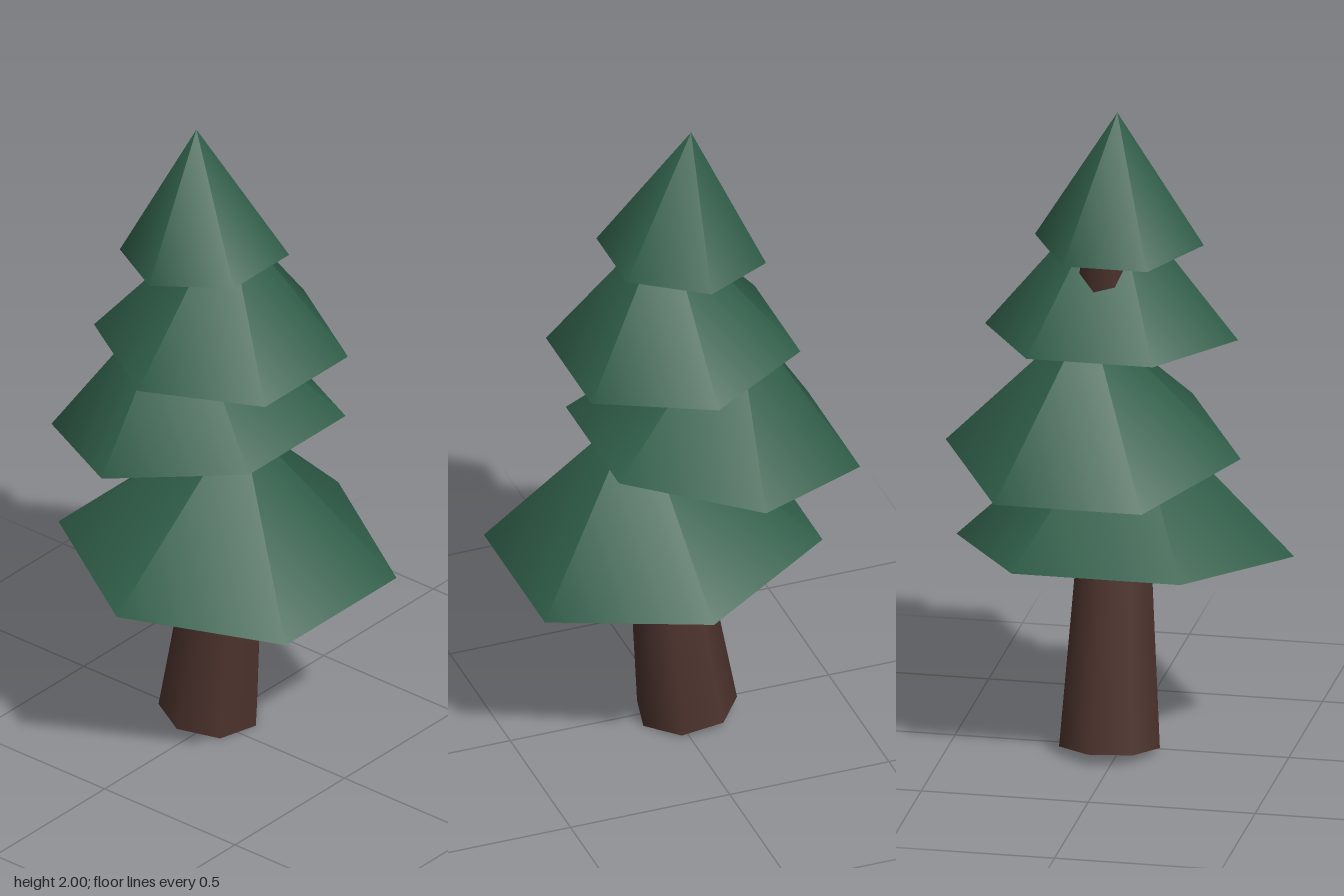
import * as THREE from 'three';

export function createModel() {
  const tree = new THREE.Group();
  tree.name = 'pineTree';
  const needles = new THREE.MeshStandardMaterial({ color: 0x2f5d48 });
  needles.name = 'needle green';
  const bark = new THREE.MeshStandardMaterial({ color: 0x4e342e });
  bark.name = 'bark brown';

  // Adds a tapered part whose base centre sits at (x, y, z), leaning by tilt about z
  const addPart = (name, geometry, material, height, [x, y, z], tilt) => {
    geometry.translate(0, height / 2, 0);
    const mesh = new THREE.Mesh(geometry, material);
    mesh.name = name;
    mesh.position.set(x, y, z);
    mesh.rotation.z = tilt;
    tree.add(mesh);
  };

  // Trunk: two seven-sided logs leaning opposite ways
  const logs = [
    { name: 'lowerTrunk', top: 0.095, bottom: 0.152, height: 0.84, base: [-0.041, 0.018, -0.03], tilt: -0.117 },
    { name: 'upperTrunk', top: 0.07, bottom: 0.095, height: 0.8, base: [-0.015, 0.785, -0.03], tilt: 0.15 },
  ];
  for (const { name, top, bottom, height, base, tilt } of logs) {
    addPart(name, new THREE.CylinderGeometry(top, bottom, height, 7), bark, height, base, tilt);
  }

  // Foliage: four six-sided cones, each shifted and tilted
  const tiers = [
    { name: 'bottomTier', radius: 0.506, height: 0.48, base: [0.051, 0.61, 0], tilt: -0.103 },
    { name: 'lowerMiddleTier', radius: 0.442, height: 0.46, base: [-0.113, 0.962, -0.063], tilt: 0.151 },
    { name: 'upperMiddleTier', radius: 0.379, height: 0.458, base: [0, 1.291, -0.031], tilt: -0.049 },
    { name: 'topTier', radius: 0.253, height: 0.408, base: [-0.037, 1.593, 0], tilt: 0.076 },
  ];
  for (const { name, radius, height, base, tilt } of tiers) {
    addPart(name, new THREE.ConeGeometry(radius, height, 6), needles, height, base, tilt);
  }

  return tree;
}
